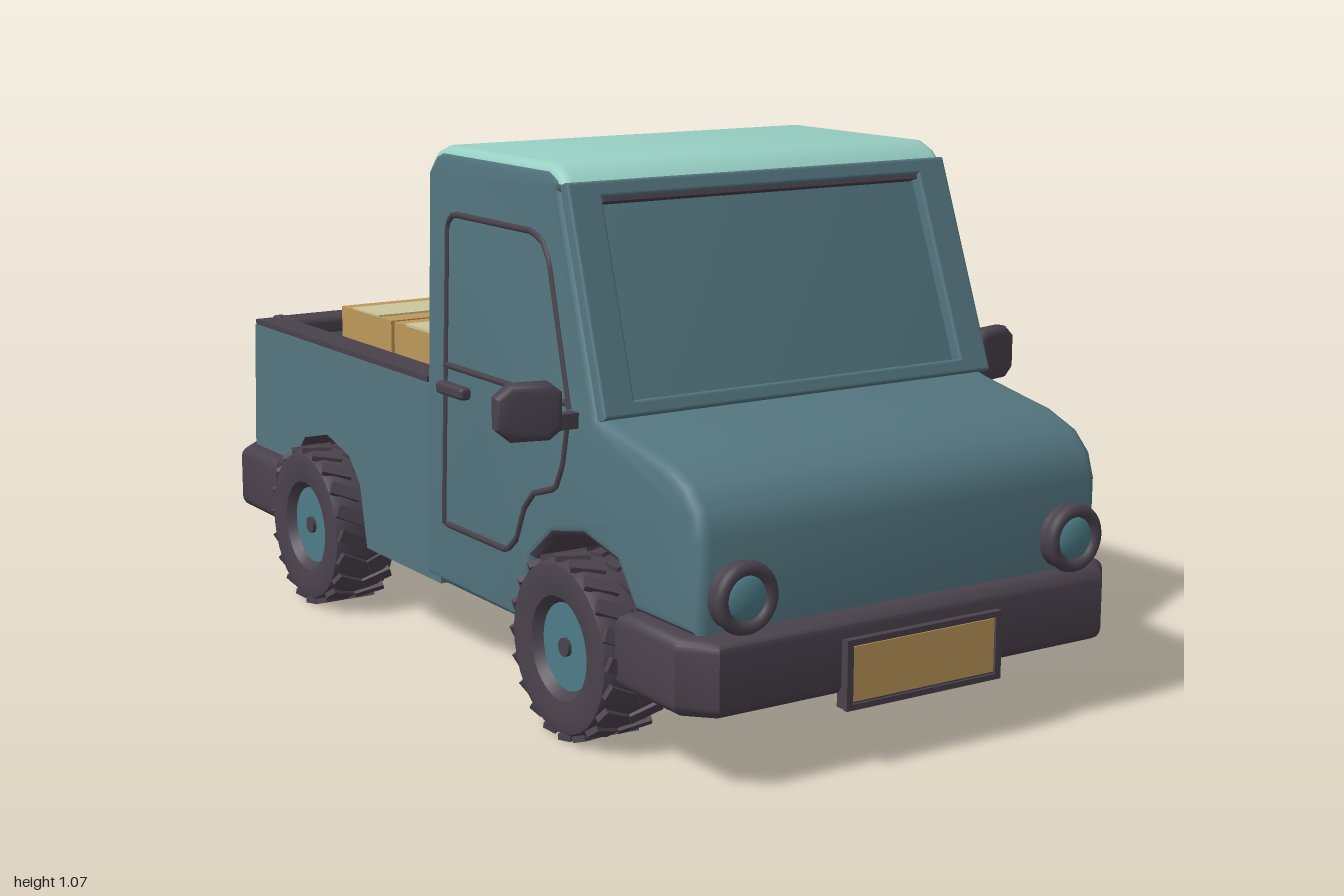
import * as THREE from 'three';
import { toCreasedNormals, mergeGeometries } from 'three/addons/utils/BufferGeometryUtils.js';
import { RoundedBoxGeometry } from 'three/addons/geometries/RoundedBoxGeometry.js';

const mat = (name, color) => Object.assign(new THREE.MeshStandardMaterial({ color }), { name });
const teal = mat('teal paint', 0x547680);
const mint = mat('mint roof', 0x98d0c4);
const dark = mat('dark trim', 0x4a424c);
const lens = mat('lens and hub teal', 0x4d7d88);
const card = mat('cardboard', 0xbe985a);
const cream = mat('cream tape', 0xcdc69c);

const shapeOf = pts => new THREE.Shape(pts.map(p => new THREE.Vector2(...p)));
// half width of the body, narrowing upward
const bodyX = y => 0.47 * (1 - 0.05 * (y - 0.3));

function extrude(shape, depth, bevel = 0) {
  const g = new THREE.ExtrudeGeometry(shape, {
    depth: depth - 2 * bevel, bevelEnabled: bevel > 0, bevelSize: bevel,
    bevelThickness: bevel, bevelOffset: -bevel, bevelSegments: 4, curveSegments: 12
  });
  return g.translate(0, 0, bevel);
}

// (z, y) profile stretched from x0 to x1, narrowing upward
function sideways(pts, x0, x1, bevel = 0) {
  const g = extrude(shapeOf(pts), x1 - x0, bevel).translate(0, 0, -x1).rotateY(-Math.PI / 2);
  const p = g.attributes.position;
  for (let i = 0; i < p.count; i++) p.setX(i, p.getX(i) * bodyX(p.getY(i)) / 0.47);
  g.computeVertexNormals();
  return toCreasedNormals(g, 0.6);
}

// choose a material index for every triangle by its centre and normal
function paint(g, rule) {
  g.clearGroups();
  const p = g.attributes.position, t = new THREE.Triangle(), c = new THREE.Vector3(), n = new THREE.Vector3();
  for (let i = 0; i < p.count; i += 3) {
    t.setFromAttributeAndIndices(p, i, i + 1, i + 2);
    t.getMidpoint(c);
    t.getNormal(n);
    const m = rule(c, n), last = g.groups[g.groups.length - 1];
    if (last && last.materialIndex === m) last.count += 3;
    else g.addGroup(i, 3, m);
  }
  return g;
}

export function createModel() {
  const model = new THREE.Group();
  model.name = 'pickupTruck';
  const add = (name, geo, material, x = 0, y = 0, z = 0, parent = model) => {
    const m = new THREE.Mesh(geo, material);
    m.name = name;
    m.position.set(x, y, z);
    parent.add(m);
    return m;
  };
  const box = (name, material, x0, x1, y0, y1, z0, z1, parent = model) =>
    add(name, new THREE.BoxGeometry(x1 - x0, y1 - y0, z1 - z0), material,
      (x0 + x1) / 2, (y0 + y1) / 2, (z0 + z1) / 2, parent);

  // cab and hood with the front wheel arch; roof and arch take their own colours
  const cab = sideways([
    [0.94, 0.28], [0.945, 0.46], [0.93, 0.51], [0.89, 0.55], [0.82, 0.577], [0.72, 0.595], [0.63, 0.612],
    [0.60, 0.62], [0.455, 1.02], [0.475, 1.035], [0.455, 1.057], [0.42, 1.073], [0, 1.073], [-0.035, 1.06],
    [-0.07, 1.02], [-0.07, 0.165], [0.34, 0.165], [0.375, 0.30], [0.45, 0.36], [0.56, 0.382],
    [0.67, 0.36], [0.735, 0.28]
  ], -0.47, 0.47, 0.025);
  add('cab', paint(cab, (c, n) => c.y > 1.0 && n.y > 0.3 ? 1 : c.y < 0.39 && c.z > 0.35 && n.y < -0.2 ? 2 : 0),
    [teal, mint, dark]);

  // windshield surround over the recessed glass
  const surround = shapeOf([[-0.462, 0], [0.462, 0], [0.45, 0.447], [-0.45, 0.447]]);
  surround.holes.push(new THREE.Path([[-0.39, 0.03], [-0.378, 0.415], [0.378, 0.415], [0.39, 0.03]]
    .map(p => new THREE.Vector2(...p))));
  const tilt = -Math.atan2(0.15, 0.42);
  add('windshieldFrame', extrude(surround, 0.03, 0.006).rotateX(tilt), teal, 0, 0.612, 0.6);
  add('windshieldSeal', new THREE.BoxGeometry(0.75, 0.01, 0.026).translate(0, 0.411, 0.013).rotateX(tilt),
    dark, 0, 0.612, 0.6);

  // load bed: two sides, floor block with the rear arch, tailgate
  const bedProfile = (top, rear) => [
    [0, top], [rear, top], [rear, 0.28], [-0.72, 0.28], [-0.655, 0.355], [-0.54, 0.382],
    [-0.43, 0.355], [-0.375, 0.30], [-0.34, 0.165], [0, 0.165]
  ];
  const arch = (c, n) => c.y < 0.39 && c.z < -0.3 && n.y < -0.2 ? 1 : 0;
  add('bedSideLeft', paint(sideways(bedProfile(0.578, -0.925), 0.39, 0.467), arch), [teal, dark]);
  add('bedSideRight', paint(sideways(bedProfile(0.578, -0.925), -0.467, -0.39), arch), [teal, dark]);
  add('bedFloor', paint(sideways(bedProfile(0.4, -0.885), -0.395, 0.395), arch), [teal, dark]);
  box('bedFrontWall', teal, -0.39, 0.39, 0.39, 0.578, -0.115, -0.06);
  box('tailgate', teal, -0.39, 0.39, 0.29, 0.57, -0.89, -0.855);

  // dark rails round the top of the bed
  for (const s of [-1, 1]) {
    const r = box('sideRail', dark, -0.034, 0.034, 0.574, 0.59, -0.925, -0.07);
    r.position.x = s * 0.424;
    add('tailgateLatch', new RoundedBoxGeometry(0.03, 0.06, 0.035, 2, 0.008), dark, s * 0.395, 0.563, -0.925);
  }
  box('frontRail', dark, -0.4, 0.4, 0.574, 0.589, -0.125, -0.065);
  add('tailgateRail', new RoundedBoxGeometry(0.8, 0.045, 0.085, 3, 0.015), dark, 0, 0.57, -0.895);

  // cargo boxes with a tape band over the lid
  for (const [z0, z1] of [[-0.665, -0.42], [-0.405, -0.16]])
    for (const [x0, x1] of [[-0.36, -0.117], [-0.104, 0.144], [0.152, 0.36]]) {
      box('cargoBox', card, x0, x1, 0.4, 0.648, z0, z1);
      box('boxTape', cream, x0, x1, 0.646, 0.652, z0 + 0.055, z1 - 0.06);
    }

  // door seams, handles and mirrors
  const door = [[0.505, 0.62], [0.425, 0.89], [0.40, 0.925], [0.36, 0.94], [0.05, 0.94], [0.025, 0.92], [0.02, 0.30],
    [0.28, 0.30], [0.315, 0.33], [0.345, 0.40], [0.38, 0.435], [0.46, 0.46], [0.485, 0.51], [0.505, 0.62]];
  const sill = [[0.50, 0.63], [0.02, 0.63]];
  const seam = (pts, s) => {
    const path = new THREE.CurvePath();
    const v = pts.map(([z, y]) => new THREE.Vector3(s * bodyX(y), y, z));
    for (let i = 1; i < v.length; i++) path.add(new THREE.LineCurve3(v[i - 1], v[i]));
    return new THREE.TubeGeometry(path, pts.length * 8, 0.007, 6);
  };
  const mirrorShape = shapeOf([[-0.065, -0.03], [-0.035, -0.055], [0.04, -0.055], [0.065, -0.035],
    [0.065, 0.035], [0.04, 0.055], [-0.035, 0.055], [-0.065, 0.03]]);
  const glassShape = shapeOf([[-0.045, -0.02], [-0.025, -0.038], [0.045, -0.038], [0.045, 0.038],
    [-0.025, 0.038], [-0.045, 0.02]]);
  for (const s of [-1, 1]) {
    add('doorSeam', seam(door, s), dark);
    add('windowSill', seam(sill, s), dark);
    add('doorHandle', new RoundedBoxGeometry(0.025, 0.026, 0.11, 2, 0.008), dark, s * 0.476, 0.587, 0.075);
    add('mirrorArm', new THREE.BoxGeometry(0.08, 0.03, 0.025), dark, s * 0.48, 0.605, 0.525);
    const mirror = new THREE.Group();
    mirror.name = 'sideMirror';
    mirror.position.set(s * 0.558, 0.628, 0.51);
    mirror.rotation.y = s * 0.25;
    model.add(mirror);
    add('mirrorShell', toCreasedNormals(extrude(mirrorShape, 0.045, 0.015), 0.7), dark, 0, 0, -0.022, mirror);
    add('mirrorGlass', extrude(glassShape, 0.006), lens, 0, 0, -0.026, mirror);

    // headlights
    add('headlightHousing', new THREE.CylinderGeometry(0.062, 0.066, 0.06, 28).rotateX(Math.PI / 2),
      dark, s * 0.385, 0.355, 0.935);
    add('headlightRim', new THREE.TorusGeometry(0.054, 0.014, 10, 28), dark, s * 0.385, 0.355, 0.968);
    add('headlightLens', new THREE.SphereGeometry(0.046, 24, 8, 0, Math.PI * 2, 0, Math.PI / 2)
      .scale(1, 0.4, 1).rotateX(Math.PI / 2), lens, s * 0.385, 0.355, 0.964);
  }

  // wrap-round bumpers with number plates
  const bumperShape = shapeOf([[-0.505, -0.73], [-0.505, -0.925], [-0.45, -0.983], [0.45, -0.983], [0.505, -0.925],
    [0.505, -0.73], [0.43, -0.73], [0.43, -0.89], [-0.43, -0.89], [-0.43, -0.73]].reverse());
  for (const end of ['front', 'rear']) {
    const g = new THREE.Group();
    g.name = end + 'BumperAssembly';
    g.rotation.y = end === 'front' ? 0 : Math.PI;
    model.add(g);
    add(end + 'Bumper', toCreasedNormals(extrude(bumperShape, 0.147, 0.025).rotateX(-Math.PI / 2), 0.7),
      dark, 0, 0.143, 0, g);
    box('plateHolder', dark, -0.182, 0.182, 0.12, 0.25, 0.97, 0.994, g);
    box('numberPlate', card, -0.166, 0.166, 0.133, 0.237, 0.992, 0.997, g);
    for (const [x, y, w, h] of [[0, 0.1235, 0.364, 0.011], [0, 0.2455, 0.364, 0.011],
      [-0.175, 0.185, 0.014, 0.13], [0.175, 0.185, 0.014, 0.13]])
      box('plateRim', dark, x - w / 2, x + w / 2, y - h / 2, y + h / 2, 0.99, 1.0, g);
  }

  // wheels with chevron tread, and axles
  const tyre = toCreasedNormals(new THREE.LatheGeometry([[0.085, -0.05], [0.1, -0.068], [0.14, -0.075], [0.163, -0.07],
    [0.172, -0.05], [0.172, 0.05], [0.163, 0.07], [0.14, 0.075], [0.1, 0.068], [0.085, 0.05]]
    .map(p => new THREE.Vector2(...p)), 36).rotateZ(-Math.PI / 2), 0.6);
  const lugs = [];
  for (let i = 0; i < 20; i++)
    for (const s of [-1, 1])
      lugs.push(new THREE.BoxGeometry(0.066, 0.012, 0.028).rotateY(s * 0.45)
        .translate(s * 0.036, 0.172, 0).rotateX((i / 20) * Math.PI * 2));
  const tread = mergeGeometries(lugs);
  const disc = (r, h) => new THREE.CylinderGeometry(r, r, h, 28).rotateZ(Math.PI / 2);
  for (const z of [0.56, -0.54]) {
    for (const s of [-1, 1]) {
      const w = new THREE.Group();
      w.name = 'wheel';
      w.position.set(s * 0.455, 0.18, z);
      model.add(w);
      add('tyre', tyre, dark, 0, 0, 0, w);
      add('tread', tread, dark, 0, 0, 0, w);
      add('hub', disc(0.088, 0.1), lens, 0, 0, 0, w);
      add('hubCap', disc(0.018, 0.116), dark, 0, 0, 0, w);
    }
    add('axle', disc(0.018, 0.84), dark, 0, 0.18, z);
    add('axleHousing', disc(0.034, 0.42), dark, 0, 0.18, z);
  }
  return model;
}
